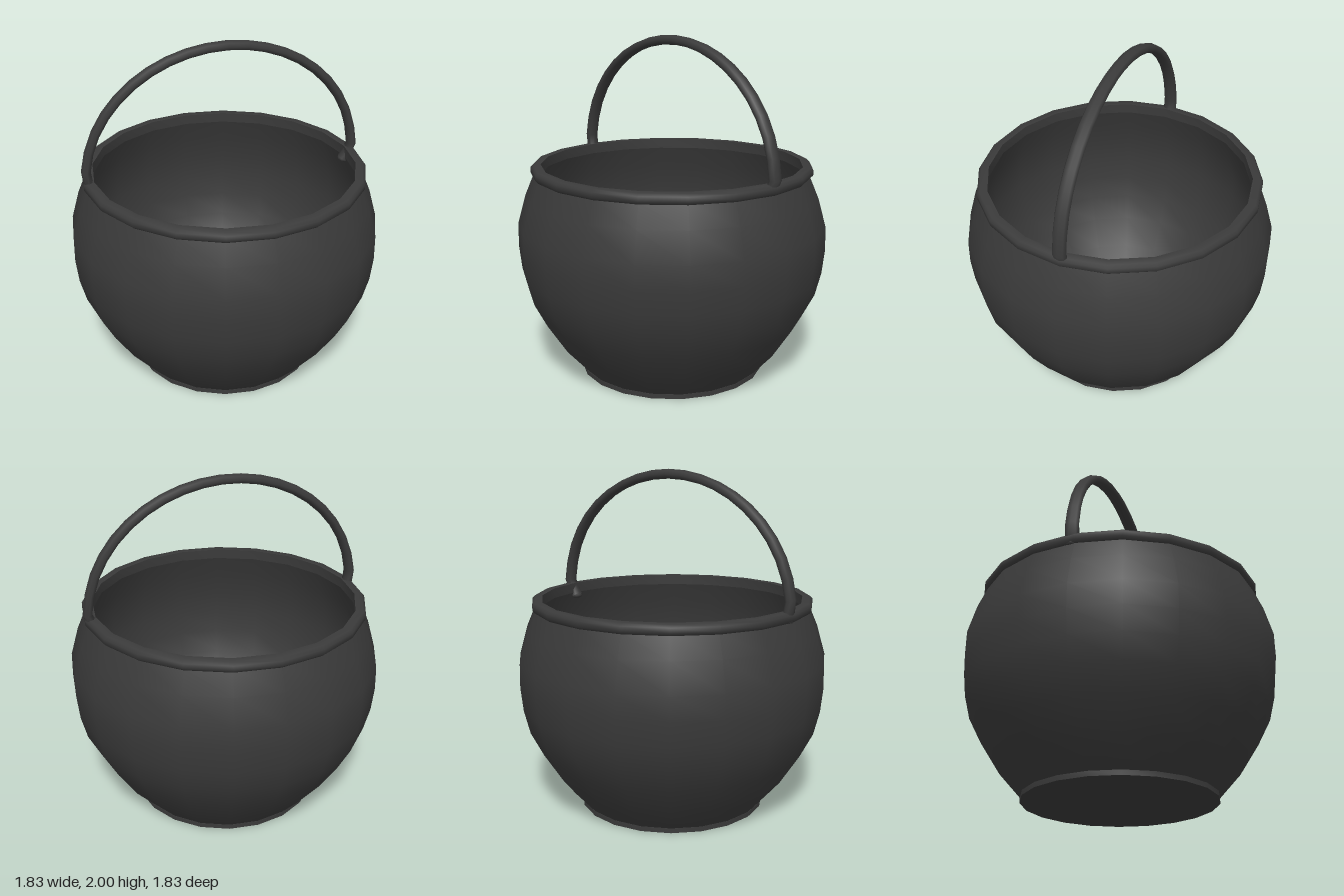
import * as THREE from 'three';
import { toCreasedNormals } from 'three/addons/utils/BufferGeometryUtils.js';

const SIDES = 20;
const iron = new THREE.MeshStandardMaterial({ color: 0x3a3a3a });

function turned(name, profile, crease = Math.PI) {
  const points = profile.map(([r, y]) => new THREE.Vector2(r, y));
  let geometry = new THREE.LatheGeometry(points, SIDES);
  if (crease < Math.PI) geometry = toCreasedNormals(geometry, crease);
  const mesh = new THREE.Mesh(geometry, iron);
  mesh.name = name;
  return mesh;
}

export function createModel() {
  const model = new THREE.Group();
  model.name = 'cauldron';

  // Round belly, outside
  model.add(turned('outerBowl', [
    [0.55, 0.025], [0.675, 0.165], [0.79, 0.345], [0.865, 0.49], [0.9, 0.63],
    [0.915, 0.77], [0.913, 0.91], [0.865, 1.08], [0.81, 1.21],
  ]));

  // Hollow inside, listed downwards so it faces the axis
  model.add(turned('innerBowl', [
    [0.77, 1.2], [0.815, 1.07], [0.855, 0.91], [0.86, 0.77], [0.845, 0.63],
    [0.81, 0.49], [0.74, 0.345], [0.63, 0.18], [0.51, 0.06],
  ]));
  model.add(turned('innerFloor', [[0.51, 0.06], [0, 0.06]]));

  // Low foot with a flat underside
  model.add(turned('foot', [[0, 0], [0.555, 0], [0.555, 0.028], [0.53, 0.028]], 0.6));

  // Bevelled rim
  model.add(turned('rim', [
    [0.77, 1.2], [0.815, 1.2], [0.83, 1.215], [0.83, 1.245], [0.815, 1.26],
    [0.77, 1.26], [0.77, 1.2],
  ], 0.9));

  // Arched handle: half ellipse whose right end hooks inside the rim
  const handle = new THREE.Group();
  handle.name = 'handle';
  const path = [new THREE.Vector3(0.765, 1.18, 0)];
  for (let i = 0; i <= 16; i++) {
    const a = (i / 16) * Math.PI;
    path.push(new THREE.Vector3(0.812 * Math.cos(a), 1.25 + 0.721 * Math.sin(a), 0));
  }
  path.push(new THREE.Vector3(-0.795, 1.21, 0));
  const bar = new THREE.Mesh(
    new THREE.TubeGeometry(new THREE.CatmullRomCurve3(path), 22, 0.028, 8), iron);
  bar.name = 'handleBar';
  bar.scale.z = 1.45; // wider than it is thick
  handle.add(bar);

  // Rounded ends
  for (const end of [path[0], path[path.length - 1]]) {
    const tip = new THREE.Mesh(new THREE.SphereGeometry(0.028, 8, 6), iron);
    tip.name = 'handleEnd';
    tip.position.copy(end);
    tip.scale.set(1, 0.6, 1.45);
    handle.add(tip);
  }
  handle.rotation.y = -0.013;
  handle.position.z = -0.01;
  model.add(handle);

  return model;
}
